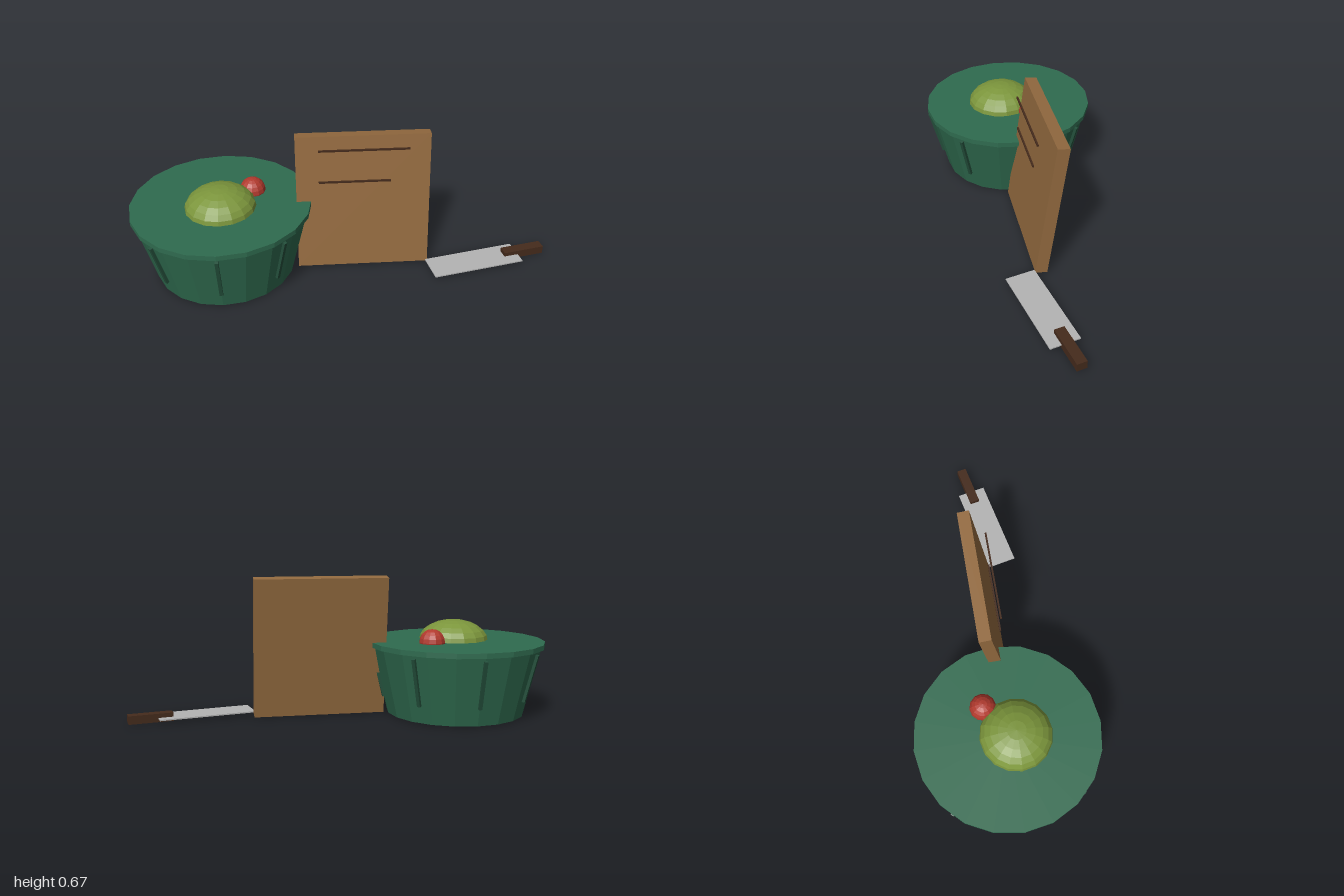
import * as THREE from 'three';

const material = (color) => new THREE.MeshStandardMaterial({ color, flatShading: true });
const green = material(0x2f6b4f);
const darkGreen = material(0x24503c);
const wood = material(0x936a3f);
const darkWood = material(0x452b1c);
const olive = material(0x7c963c);
const red = material(0xb23a2e);
const steel = material(0xb4b4b4);

function addPart(parent, name, geometry, mat, x, y, z) {
  const mesh = new THREE.Mesh(geometry, mat);
  mesh.name = name;
  mesh.position.set(x, y, z);
  parent.add(mesh);
  return mesh;
}

// Tapered bowl with a flat lid-like rim, ribs and two fruits
function createBowl() {
  const bowl = new THREE.Group();
  bowl.name = 'bowl';
  addPart(bowl, 'bowlBody', new THREE.CylinderGeometry(0.416, 0.335, 0.335, 20), green, 0, 0.1725, 0);
  addPart(bowl, 'bowlRim', new THREE.CylinderGeometry(0.427, 0.427, 0.024, 20), green, 0, 0.344, 0);

  // Eight slanted ribs around the wall
  const lean = Math.atan2(0.06, 0.23);
  for (let i = 0; i < 8; i++) {
    const spoke = new THREE.Group();
    spoke.name = 'ribMount';
    spoke.rotation.y = (i * Math.PI) / 4;
    const rib = addPart(spoke, 'rib', new THREE.BoxGeometry(0.016, 0.236, 0.014), darkGreen, 0, 0.204, 0.389);
    rib.rotation.x = lean;
    bowl.add(spoke);
  }

  const large = addPart(bowl, 'largeFruit', new THREE.SphereGeometry(0.168, 16, 12), olive, 0, 0.351, 0.038);
  large.scale.y = 0.6;
  addPart(bowl, 'smallFruit', new THREE.SphereGeometry(0.062, 12, 10), red, 0.147, 0.361, -0.09);
  bowl.position.x = -0.575;
  return bowl;
}

// Leaning board with two thin strips standing in front of it
function createBoard() {
  const group = new THREE.Group();
  group.name = 'cuttingBoard';
  const board = addPart(group, 'board', new THREE.BoxGeometry(0.63, 0.669, 0.057), wood, 0.095, 0.34, 0.002);
  board.rotation.x = -0.14;
  addPart(group, 'upperStrip', new THREE.BoxGeometry(0.42, 0.008, 0.008), darkWood, 0.095, 0.633, 0.043);
  addPart(group, 'lowerStrip', new THREE.BoxGeometry(0.335, 0.008, 0.008), darkWood, 0.053, 0.467, 0.043);
  return group;
}

// Cleaver lying flat, turned slightly
function createKnife() {
  const knife = new THREE.Group();
  knife.name = 'knife';
  const blade = addPart(knife, 'blade', new THREE.BoxGeometry(0.457, 0.006, 0.143), steel, 0.639, 0.019, 0.101);
  const handle = addPart(knife, 'handle', new THREE.BoxGeometry(0.207, 0.04, 0.048), darkWood, 0.893, 0.022, 0.041);
  blade.rotation.y = handle.rotation.y = 0.21;
  return knife;
}

export function createModel() {
  const model = new THREE.Group();
  model.name = 'kitchenSet';
  model.add(createBowl(), createBoard(), createKnife());
  return model;
}
